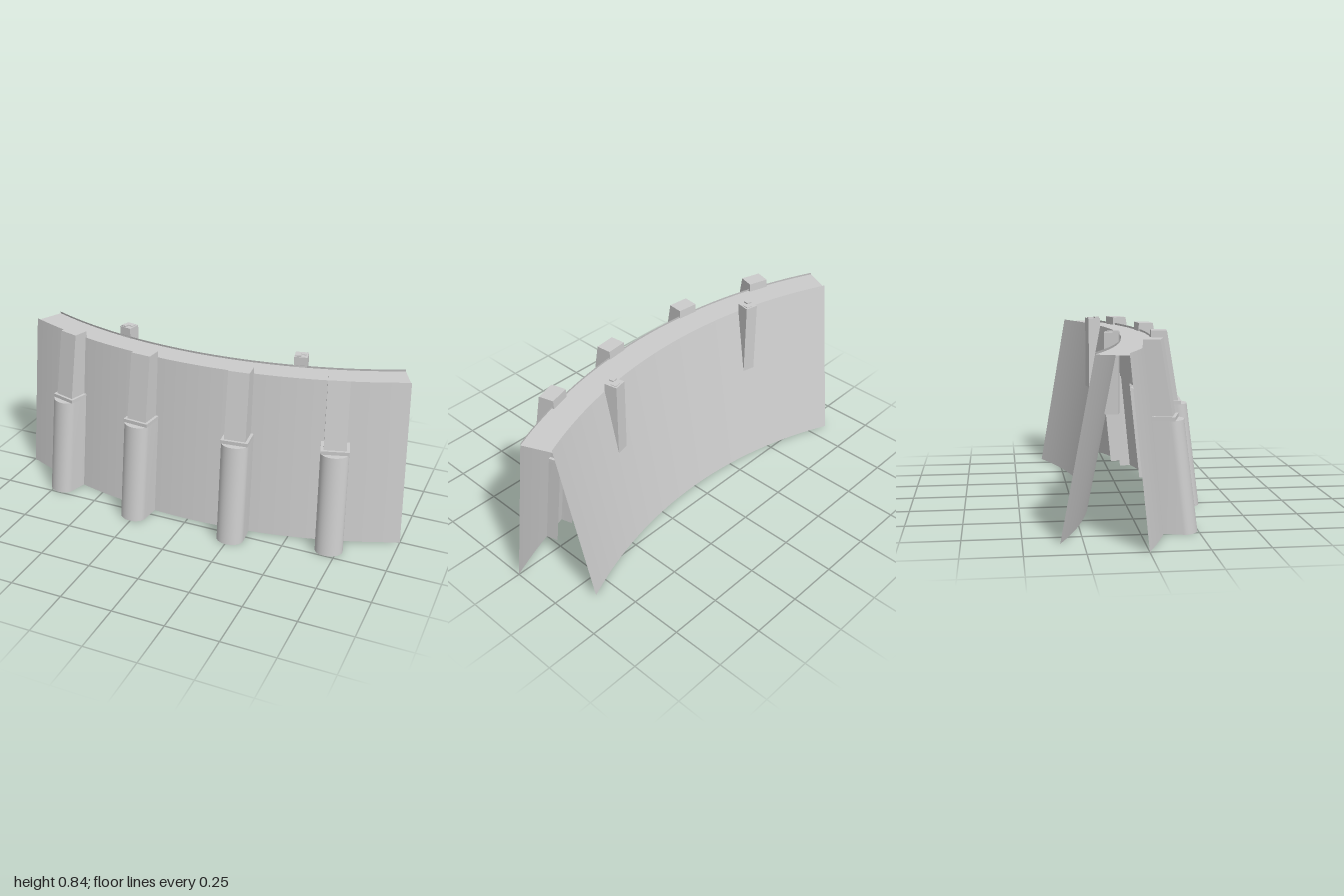
import * as THREE from 'three';
import { toCreasedNormals } from 'three/addons/utils/BufferGeometryUtils.js';

const CENTER_Z = -2.22;                       // shared axis of all the curved panels
const HALF = THREE.MathUtils.degToRad(24.25); // half of the arc they sweep
const material = new THREE.MeshStandardMaterial({ color: 0xcccccc, side: THREE.DoubleSide });

function add(parent, geometry, name) {
  const mesh = new THREE.Mesh(geometry, material);
  mesh.name = name;
  parent.add(mesh);
  return mesh;
}

// Curved panel swept between two [radius, height] points
function panel(parent, a, b, name) {
  const points = [new THREE.Vector2(...a), new THREE.Vector2(...b)];
  add(parent, new THREE.LatheGeometry(points, 40, -HALF, 2 * HALF), name).position.z = CENTER_Z;
}

// Surface lofted between two [x, z] outlines, capped on top; closed adds the back face
function loft(lower, y0, upper, y1, closed) {
  const n = lower.length, pos = [], index = [];
  for (const [x, z] of lower) pos.push(x, y0, z);
  for (const [x, z] of upper) pos.push(x, y1, z);
  for (let i = 0; i < (closed ? n : n - 1); i++) {
    const j = (i + 1) % n;
    index.push(i, j, n + j, i, n + j, n + i);
  }
  for (let i = 1; i < n - 1; i++) index.push(n, n + i, n + i + 1);
  const geometry = new THREE.BufferGeometry();
  geometry.setAttribute('position', new THREE.Float32BufferAttribute(pos, 3));
  geometry.setIndex(index);
  return toCreasedNormals(geometry, 0.6);
}

const rect = (w, back, front) => [[-w / 2, back], [-w / 2, front], [w / 2, front], [w / 2, back]];

// Straight sides with a rounded nose
function noseOutline(w, back, front, depth) {
  const pts = [[-w / 2, back]];
  for (let i = 0; i <= 14; i++) {
    const t = Math.PI * i / 14;
    pts.push([-Math.cos(t) * w / 2, front - depth + Math.sin(t) * depth]);
  }
  pts.push([w / 2, back]);
  return pts;
}

function createButtress(angle, inset) {
  const g = new THREE.Group();
  g.name = 'buttress';
  g.position.z = CENTER_Z - inset;
  g.rotation.y = angle;
  // Hollow rounded column, open at the back and bottom
  add(g, loft(noseOutline(0.13, 2.38, 2.576, 0.05), 0, noseOutline(0.13, 2.328, 2.515, 0.05), 0.483, false), 'buttressColumn');
  // Flat step
  add(g, loft(rect(0.13, 2.328, 2.485), 0.483, rect(0.13, 2.326, 2.485), 0.5, false), 'buttressStep');
  // Slimmer pier
  add(g, loft(rect(0.103, 2.328, 2.472), 0.5, rect(0.1, 2.347, 2.419), 0.82, true), 'buttressPier');
  return g;
}

function createPost(angle) {
  const g = new THREE.Group();
  g.name = 'rearPost';
  g.position.z = CENTER_Z;
  g.rotation.y = angle;
  const box = (w, h, d, x, y, z, name) => add(g, new THREE.BoxGeometry(w, h, d), name).position.set(x, y, z);
  box(0.062, 0.36, 0.063, 0, 0.65, 2.178, 'postShaft');
  // Small fittings on the post top
  box(0.025, 0.008, 0.024, -0.012, 0.833, 2.194, 'postCapFront');
  box(0.03, 0.004, 0.028, 0.008, 0.831, 2.168, 'postCapRear');
  return g;
}

export function createModel() {
  const model = new THREE.Group();
  model.name = 'curvedBarrier';
  // Leaning walls and the walkway set just below their top edges
  panel(model, [2.435, 0], [2.35, 0.79], 'frontWall');
  panel(model, [2.055, 0], [2.21, 0.79], 'backWall');
  panel(model, [2.351, 0.78], [2.208, 0.78], 'topWalkway');
  for (const side of [-1, 1]) {
    model.add(createButtress(side * 0.1015, 0));
    model.add(createButtress(side * 0.286, 0.006));
    model.add(createPost(side * 0.206));
  }
  return model;
}
